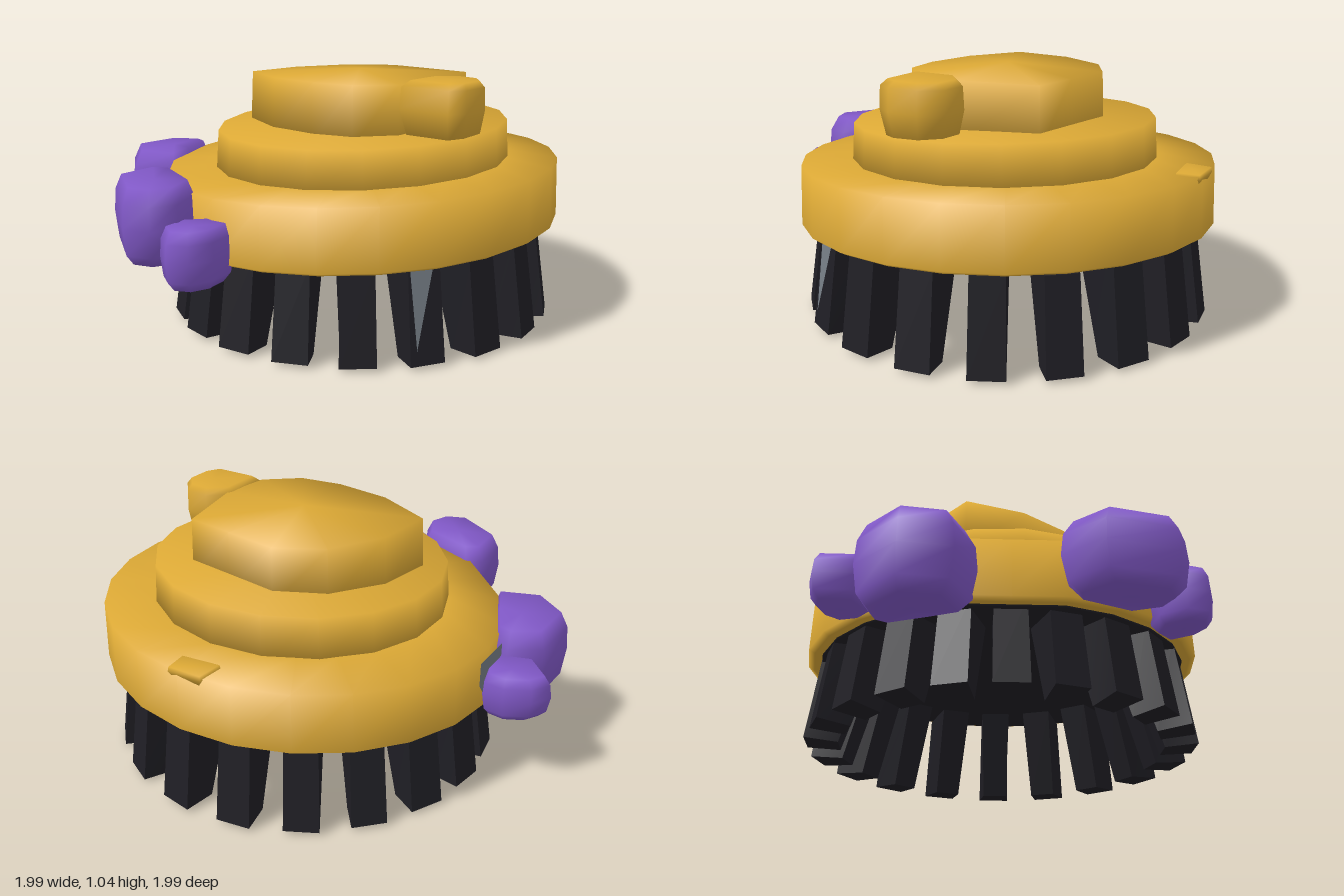
import * as THREE from 'three';

const CX = 0.12, CZ = 0.12;
const mat = (name, color) => {
  const m = new THREE.MeshStandardMaterial({ color });
  m.name = name;
  return m;
};

// Stack scaled copies of a ground-plan outline [x, z] at levels [scale, y], capped at both ends.
// tilt = [slope along x, slope along z], crown = extra height in the middle of the top cap
function loft(outline, levels, tilt = [0, 0], crown = 0) {
  const n = outline.length;
  let area = 0;
  outline.forEach(([x, z], i) => {
    const [x2, z2] = outline[(i + 1) % n];
    area += x * z2 - x2 * z;
  });
  const pts = area > 0 ? outline : [...outline].reverse();
  const mx = pts.reduce((s, p) => s + p[0], 0) / n;
  const mz = pts.reduce((s, p) => s + p[1], 0) / n;
  const pos = [], idx = [];
  const add = (x, y, z) => pos.push(x, y + (x - CX) * tilt[0] + (z - CZ) * tilt[1], z);
  for (const [s, y] of levels)
    for (const [x, z] of pts) add(mx + (x - mx) * s, y, mz + (z - mz) * s);
  add(mx, levels[0][1], mz);
  add(mx, levels[levels.length - 1][1] + crown, mz);
  const bottom = levels.length * n, top = bottom + 1, last = bottom - n;
  for (let j = 0; j < n; j++) {
    const k = (j + 1) % n;
    for (let i = 0; i < levels.length - 1; i++) {
      const a = i * n + j, b = i * n + k;
      idx.push(a, a + n, b, b, a + n, b + n);
    }
    idx.push(bottom, j, k, top, last + k, last + j);
  }
  const g = new THREE.BufferGeometry();
  g.setAttribute('position', new THREE.Float32BufferAttribute(pos, 3));
  g.setIndex(idx);
  g.computeVertexNormals();
  return g;
}

// Round outline with a slightly flattened back corner
function disc(r, n, flat = r, cz = CZ) {
  return Array.from({ length: n }, (_, i) => {
    const a = (i / n) * Math.PI * 2;
    const d = r * Math.cos(a - Math.PI * 1.25);
    const s = d > flat ? flat / d : 1;
    return [CX + r * s * Math.cos(a), cz + r * s * Math.sin(a)];
  });
}

export function createModel() {
  const root = new THREE.Group();
  const gold = mat('gold', 0xdba835);
  const purple = mat('purple', 0x8058c6);
  const black = mat('black', 0x1f1e24);
  const grey = mat('grey', 0x747c84);
  const part = (name, geo, m, parent = root) => {
    const mesh = new THREE.Mesh(geo, m);
    mesh.name = name;
    parent.add(mesh);
    return mesh;
  };

  // Stepped body, leaning a little, with soft shading over the steps
  part('lowerTier', loft(disc(0.87, 24, 0.83),
    [[0.97, 0.385], [1, 0.4], [0.99, 0.648], [0.7, 0.66]], [0.03, 0.035]), gold);
  part('middleTier', loft(disc(0.63, 18, 0.63, 0.145),
    [[1.01, 0.62], [0.99, 0.82]], [0.04, 0.025], 0.01), gold);
  part('topTier', loft(
    [[-0.08, -0.33], [0.18, -0.3], [0.4, -0.17], [0.51, 0.02], [0.485, 0.25], [0.46, 0.46],
      [0.13, 0.53], [-0.08, 0.5], [-0.2, 0.36], [-0.23, 0.17], [-0.2, -0.08]],
    [[1.01, 0.78], [0.99, 1.02]], [0, 0.015], 0.025), gold);

  // Knob on the front and small tab on the side
  part('frontKnob', loft(
    [[-0.08, 0.5], [0.13, 0.5], [0.21, 0.59], [0.2, 0.7], [0.12, 0.77], [-0.01, 0.77], [-0.08, 0.73]],
    [[0.85, 0.82], [1, 0.93], [0.97, 1.02], [0.8, 1.045]]), gold);
  part('sideTab', loft([[0.87, 0], [0.98, 0.01], [0.985, 0.16], [0.89, 0.17]],
    [[0.8, 0.64], [1, 0.665], [0.95, 0.685]]), gold);

  // Dark plate that holds the bristles
  part('bristleBase', loft(disc(0.81, 24, 0.78), [[0.75, 0.375], [1, 0.375], [1, 0.41]],
    [0.03, 0.035]), black);

  // Splayed bristles: wide roots, square tips leaning outward
  const bristles = new THREE.Group();
  bristles.name = 'bristles';
  root.add(bristles);
  const tuft = new THREE.BoxGeometry(0.14, 0.4, 0.15);
  const tp = tuft.attributes.position;
  for (let i = 0; i < tp.count; i++) {
    const up = tp.getY(i) > 0, outer = tp.getZ(i) > 0;
    tp.setXYZ(i, tp.getX(i) * (up ? 0.95 : outer ? 1.03 : 0.8),
      up ? 0.4 : outer ? 0.02 : 0.005,
      up ? (outer ? 0.79 : 0.58) : (outer ? 0.845 : 0.7));
  }
  tuft.computeVertexNormals();

  // They fan out from a point a little behind the middle, so each slides along its own direction,
  // and those at the flattened back corner sit further in
  const COUNT = 20, SHIFT = 0.05;
  for (let i = 0; i < COUNT; i++) {
    const a = ((i + 0.5) / COUNT) * Math.PI * 2;
    const toCorner = Math.max(0, -Math.cos(a - Math.PI / 4));
    const slide = SHIFT * (Math.sin(a) + Math.cos(a)) - 0.04 * toCorner ** 4;
    const b = part('bristle', tuft, black, bristles);
    b.position.set(CX - SHIFT + Math.sin(a) * slide, 0, CZ - SHIFT + Math.cos(a) * slide);
    b.rotation.y = a;
  }

  // Purple lumps: a large and a small one on two sides
  const lump = (name, outline, y0, y1) => {
    const at = (t) => y0 + (y1 - y0) * t;
    part(name, loft(outline,
      [[0.72, at(0)], [0.92, at(0.15)], [1, at(0.5)], [0.96, at(0.8)], [0.8, at(1)]]), purple);
  };
  lump('backLumpLarge', [[-0.44, -0.75], [-0.31, -0.92], [-0.06, -0.91], [0.02, -0.78],
    [0, -0.71], [-0.2, -0.62], [-0.37, -0.55]], 0.29, 0.64);
  lump('backLumpSmall', [[0.07, -1], [0.15, -0.95], [0.2, -0.85], [0.19, -0.76],
    [0.1, -0.71], [0, -0.72], [-0.05, -0.88]], 0.35, 0.54);
  lump('sideLumpLarge', [[-1, -0.1], [-0.84, -0.36], [-0.63, -0.37], [-0.59, -0.3],
    [-0.7, -0.02], [-0.85, 0.05], [-0.96, 0.01]], 0.36, 0.67);
  lump('sideLumpSmall', [[-0.98, 0.12], [-0.93, 0.03], [-0.8, 0.01], [-0.71, 0.08],
    [-0.71, 0.2], [-0.84, 0.23], [-0.94, 0.2]], 0.31, 0.54);

  // Thin painted faces: a grey wedge on one front bristle, a grey patch behind the small back lump
  const plate = (name, corners, parent) =>
    part(name, new THREE.ShapeGeometry(
      new THREE.Shape(corners.map(([x, y]) => new THREE.Vector2(x, y)))), grey, parent);
  const wedge = plate('greyWedge', [[-0.06, 0.37], [-0.045, 0.06], [0.035, 0.37]],
    bristles.children[COUNT - 2]);
  wedge.position.set(0, 0.02, 0.849);
  wedge.rotation.x = -0.144;
  const patch = plate('greyPatch', [[-0.1, 0.5], [-0.04, 0.42], [0.1, 0.42], [0.1, 0.6], [-0.1, 0.6]]);
  patch.position.set(0.12, 0, -0.757);
  patch.rotation.y = Math.PI;

  return root;
}
